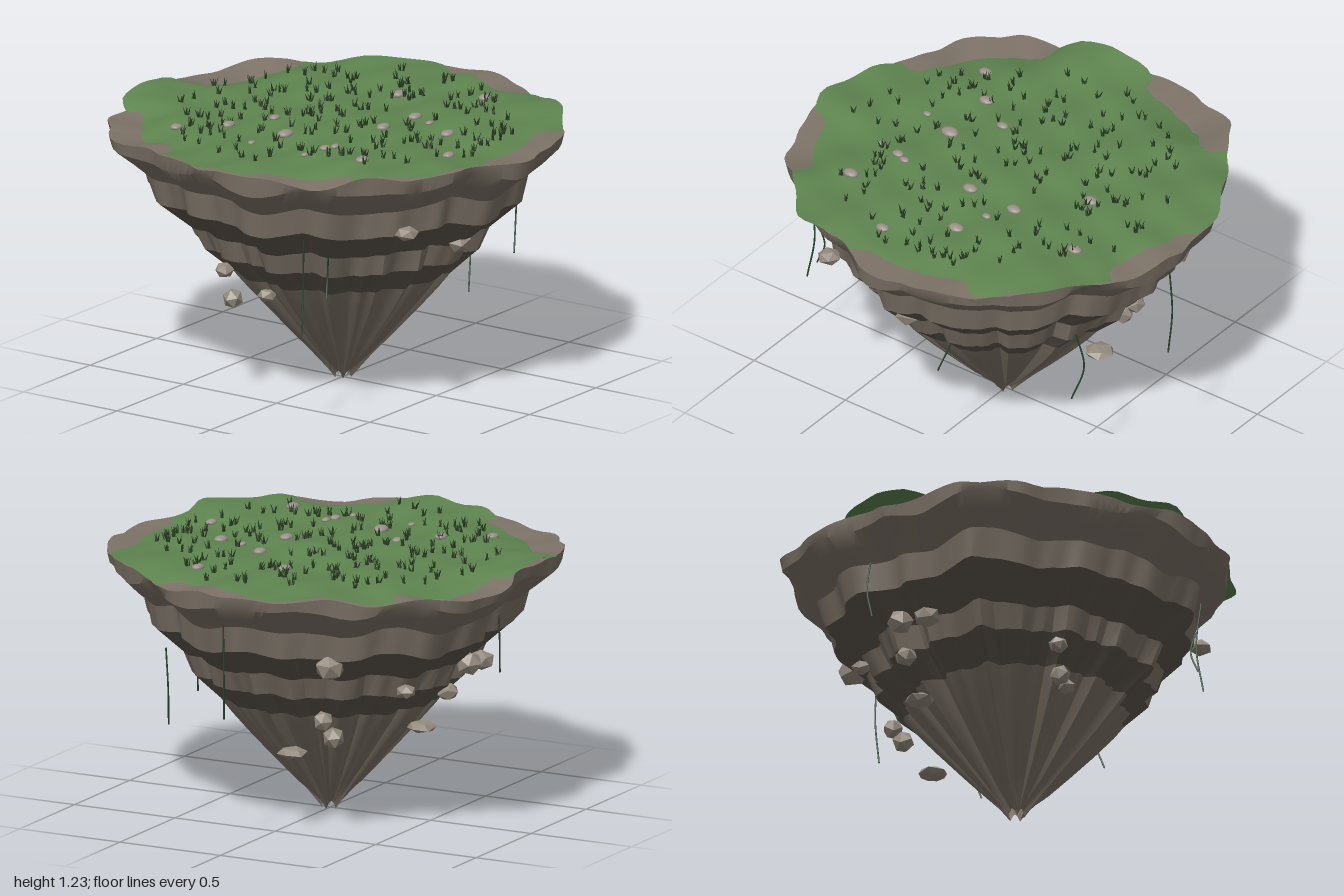
import * as THREE from 'three';
import { mergeGeometries, toCreasedNormals } from 'three/addons/utils/BufferGeometryUtils.js';

const mat = (color, flatShading = false) =>
  new THREE.MeshStandardMaterial({ color, flatShading, roughness: 1, side: THREE.DoubleSide });

// seeded random numbers
function seeded(seed) {
  return () => {
    seed = (seed * 16807) % 2147483647;
    return seed / 2147483647;
  };
}

// outline radii every 15 degrees, from +x towards +z
const GRASS = [.95, .92, .95, .97, .96, .93, .91, .90, .98, .93, .93, .92,
  .98, .95, .92, .95, .94, 1.01, .96, .93, .89, .98, .96, .99];
const RIM = [.98, .98, .92, .93, .97, .97, .97, .90, .90, .92, .96, .95,
  .95, .92, .95, 1.03, 1.01, .93, .93, 1.02, 1.04, .98, .94, .97];

function outline(table, angle) {
  const n = table.length;
  const t = ((angle / (Math.PI * 2)) * n + n) % n;
  const i = Math.floor(t), k = (1 - Math.cos((t - i) * Math.PI)) / 2;
  return THREE.MathUtils.lerp(table[i % n], table[(i + 1) % n], k);
}

// how far the turf overhangs the rock (positive) or falls short of it
const overhang = (a) => THREE.MathUtils.clamp(outline(GRASS, a) - outline(RIM, a), -.08, .06);

// closed rings of points, stacked upwards (or inwards) and joined by faces
function ringSurface(rows, segments, point) {
  const pos = [], index = [];
  for (let j = 0; j < rows; j++) {
    for (let i = 0; i < segments; i++) {
      const a = (i / segments) * Math.PI * 2;
      const [r, y] = point(j, a);
      pos.push(r * Math.cos(a), y, r * Math.sin(a));
      if (j === rows - 1) continue;
      const p = j * segments + i, q = j * segments + (i + 1) % segments;
      index.push(p, p + segments, q, q, p + segments, q + segments);
    }
  }
  const geo = new THREE.BufferGeometry();
  geo.setAttribute('position', new THREE.Float32BufferAttribute(pos, 3));
  geo.setIndex(index);
  geo.computeVertexNormals();
  return geo;
}

// gentle bumps of the turf, its edge lifting where it overhangs the rock
function turfHeight(r, a) {
  const x = r * Math.cos(a), z = r * Math.sin(a);
  const edge = Math.pow(Math.min(r / outline(GRASS, a), 1), 6);
  return 1.175 + .009 * Math.sin(7 * x + 2) * Math.cos(6 * z) + .005 * Math.sin(15 * x + 9 * z)
    + .004 * Math.sin(24 * z - 8 * x) + edge * (.6 * overhang(a) - .014 + .01 * Math.sin(11 * a));
}

// radius and height of each rock ring, tip to rim
const PROFILE = [[.035, 0], [.14, .13], [.24, .24], [.345, .36], [.43, .46], [.48, .525], [.60, .635],
  [.645, .735], [.79, .86], [.82, .98], [.89, 1.04], [.955, 1.10], [.965, 1.16], [.82, 1.16]];

function rockPoint(j, a) {
  const [r0, y0] = PROFILE[j];
  const up = THREE.MathUtils.smoothstep(y0, .35, 1.1);
  const flute = Math.sin(17 * a + Math.sin(3 * a)) + .5 * Math.sin(29 * a + 1) + .4 * Math.sin(43 * a);
  const lump = Math.sin(9 * a + 1 + y0) + .6 * Math.sin(14 * a + 2);
  const r = r0 * (1 + up * (outline(RIM, a) / .96 - 1))
    * (1 + (1 - up) * .035 * flute + (j < 11 ? .012 * lump : 0) + .007 * flute);
  if (j === 13) return [r, turfHeight(r, a) - .004]; // inner lip meets the turf
  if (j === 12) return [r, turfHeight(r, a) - .004 - .5 * overhang(a)]; // rim
  const wave = Math.sin(9 * a + j * .3) + .7 * Math.sin(14 * a + 1);
  return [r, y0 + (j ? up * .017 * wave : .035 * Math.abs(Math.sin(2.5 * a)))];
}

function grassTuft(rand) {
  const blades = [];
  const count = 3 + Math.floor(rand() * 2);
  for (let i = 0; i < count; i++) {
    const blade = new THREE.ConeGeometry(.007, .035 + .022 * rand(), 3);
    blade.translate(0, .02, 0);
    blade.rotateX(.2 + .3 * rand());
    blade.rotateY((i / count) * 6.28 + rand());
    blade.translate(.012 * (rand() - .5), 0, .012 * (rand() - .5));
    blades.push(blade);
  }
  return mergeGeometries(blades);
}

export function createModel() {
  const model = new THREE.Group();
  const rand = seeded(4217);
  const add = (name, geo, material, parent = model) => {
    const mesh = new THREE.Mesh(geo, material);
    mesh.name = name;
    parent.add(mesh);
    return mesh;
  };
  const group = (name) => {
    const g = new THREE.Group();
    g.name = name;
    model.add(g);
    return g;
  };

  // rock strata, each running between two rings of the profile
  const body = group('rockBody'), light = mat(0x7c7267), dark = mat(0x5c554d);
  for (const [name, from, to, material] of [['cone', 0, 5, light], ['lowerDarkLayer', 5, 6, dark],
    ['middleLightLayer', 6, 7, light], ['upperDarkLayer', 7, 8, dark], ['upperLightLayer', 8, 9, light],
    ['rim', 9, 13, light]]) {
    const geo = ringSurface(to - from + 1, 160, (j, a) => rockPoint(from + j, a));
    add(name, toCreasedNormals(geo, .6), material, body);
  }

  // turf, from its edge to the middle
  const turfRings = 24;
  add('turf', ringSurface(turfRings + 1, 120, (j, a) => {
    const r = outline(GRASS, a) * (1 - j / turfRings) * (1 + (j ? 0 : .006 * Math.sin(19 * a)));
    return [r, turfHeight(r, a)];
  }), mat(0x5f8450));

  // grass tufts
  const tufts = [];
  for (let i = 0; i < 190; i++) {
    const r = .78 * Math.sqrt(rand()), a = rand() * Math.PI * 2;
    tufts.push(grassTuft(rand).translate(r * Math.cos(a), turfHeight(r, a) - .003, r * Math.sin(a)));
  }
  add('grassTufts', mergeGeometries(tufts), mat(0x2c4424));

  // pebbles lying on the turf: x, z, radius
  const pebbles = group('pebbles'), pebbleMat = mat(0x9a9088);
  for (const [x, z, s] of [[-.51, -.53, .032], [-.37, -.35, .035], [-.19, -.23, .028], [-.52, -.12, .02],
    [-.35, -.06, .043], [.45, -.02, .036], [-.02, .23, .036], [.22, .23, .036], [.16, .35, .022], [.62, .32, .034],
    [.1, .49, .038], [-.16, .68, .032], [-.5, .46, .036], [-.54, .18, .02], [-.43, .21, .028], [-.38, .23, .024]]) {
    const p = add('pebble', new THREE.SphereGeometry(s, 12, 8), pebbleMat, pebbles);
    p.position.set(x, turfHeight(Math.hypot(x, z), Math.atan2(z, x)) + .003, z);
    p.scale.set(1, .45, .75);
  }

  // loose rocks floating around the cone: x, y, z, radius, vertical squash
  const rocks = group('floatingRocks'), stoneMat = mat(0x948a7e, true);
  for (const [x, y, z, s, flat] of [[-.46, .88, .67, .055, .6], [-.04, .74, .65, .06, .85],
    [.66, .815, -.36, .07, .9], [.52, .53, -.25, .047, 1], [.445, .44, -.26, .05, 1], [.465, .355, -.065, .07, .36],
    [0, .73, -.69, .062, .9], [-.15, .71, -.67, .062, .75], [.37, .67, -.58, .046, .7], [.05, .605, -.61, .053, .8],
    [.08, .44, -.5, .07, .4], [-.52, .445, -.22, .047, 1], [-.54, .575, -.25, .045, .8], [-.43, .46, -.1, .045, .7]]) {
    const rock = add('floatingRock', new THREE.IcosahedronGeometry(s, 0), stoneMat, rocks);
    rock.geometry.rotateY(rand() * 6).rotateX(rand() * .6);
    rock.position.set(x, y, z);
    rock.scale.y = flat;
  }

  // thin hanging vines: x, z, top, bottom, sideways bend
  const vines = group('hangingVines'), vineMat = mat(0x2b4530);
  for (const [x, z, top, bottom, bend] of [[-.80, .36, .88, .45, .015], [-.70, .42, .79, .60, .015],
    [.71, .43, .82, .47, .025], [.92, .03, 1.02, .59, .008], [.12, .61, .88, .47, .03], [.02, -.85, .97, .71, .01]]) {
    const path = new THREE.CatmullRomCurve3([
      new THREE.Vector3(x, top, z), new THREE.Vector3(x + bend, (top + bottom) / 2, z - bend),
      new THREE.Vector3(x - bend, bottom, z)]);
    add('vine', new THREE.TubeGeometry(path, 16, .004, 5), vineMat, vines);
  }
  return model;
}
